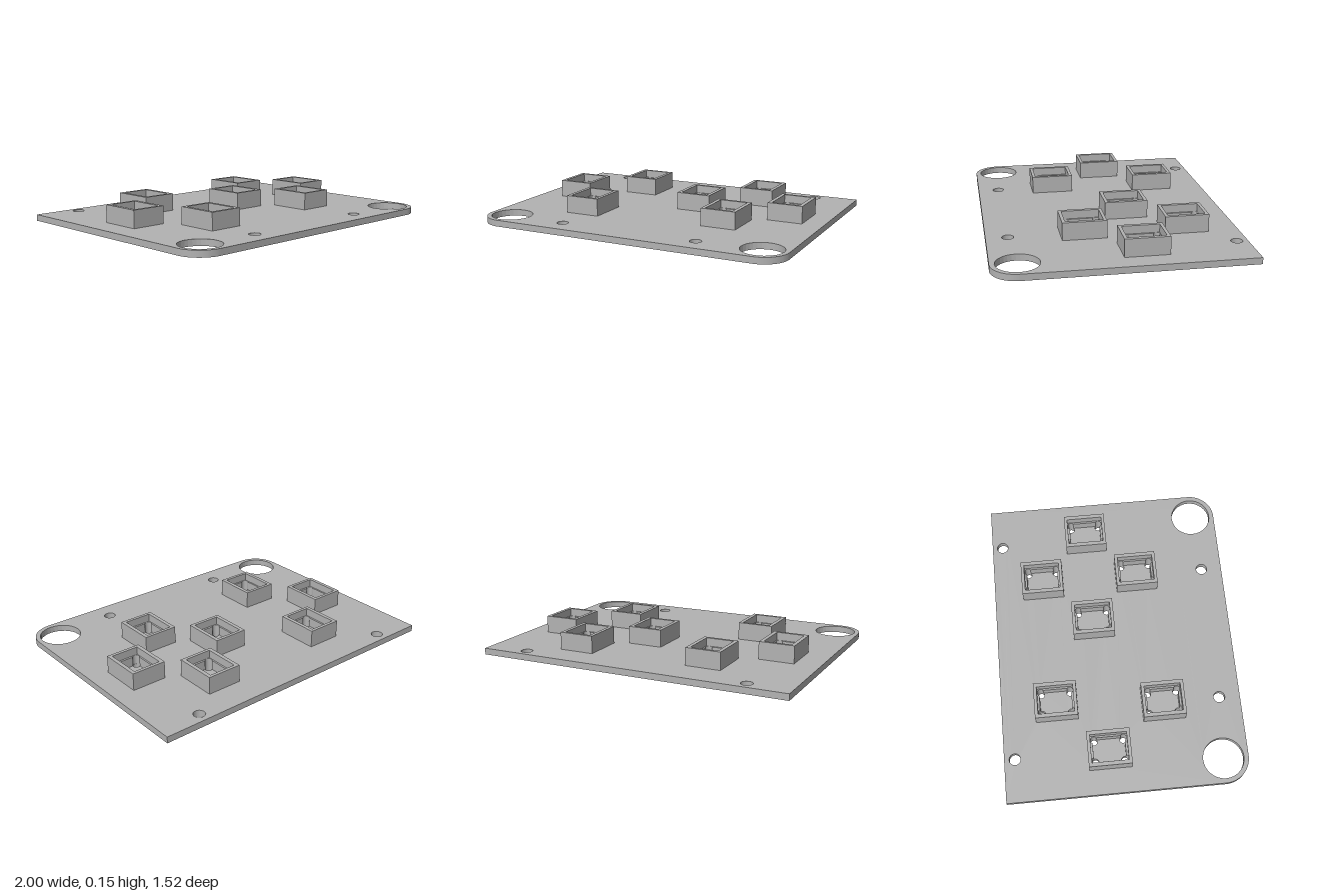
import * as THREE from 'three';

const plateTop = 0.04, housingTop = 0.15, ledgeTop = 0.1;
const pinX = 0.064, pinZ = 0.092, pinR = 0.021;

// Housing centres as [x, z]
const housings = [
  [-0.395, -0.41], [-0.732, -0.102], [-0.452, 0.265], [0.137, -0.128],
  [0.447, -0.438], [0.757, -0.128], [0.447, 0.182],
];

function circle(x, z, r) {
  const p = new THREE.Path();
  p.absarc(x, -z, r, 0, Math.PI * 2, true);
  return p;
}

function rect(path, a, b) {
  path.moveTo(-a, -b).lineTo(a, -b).lineTo(a, b).lineTo(-a, b).closePath();
  return path;
}

// Extrude a plan outline upward from y0 to y1
function slab(shape, y0, y1) {
  const g = new THREE.ExtrudeGeometry(shape, { depth: y1 - y0, bevelEnabled: false, curveSegments: 16 });
  g.rotateX(-Math.PI / 2);
  g.translate(0, y0, 0);
  return g;
}

// Rectangular opening whose corners are relieved by the pin holes
function relievedOpening(a, b) {
  const p = new THREE.Path();
  const tx = Math.acos((a - pinX) / pinR), tz = Math.asin((b - pinZ) / pinR);
  const h = Math.PI;
  p.absarc(pinX, pinZ, pinR, -tx, h - tz, false);
  p.absarc(-pinX, pinZ, pinR, tz, h + tx, false);
  p.absarc(-pinX, -pinZ, pinR, h - tx, 2 * h - tz, false);
  p.absarc(pinX, -pinZ, pinR, h + tz, 2 * h + tx, false);
  p.closePath();
  return p;
}

export function createModel() {
  const group = new THREE.Group();
  const grey = new THREE.MeshStandardMaterial({ color: 0xb2b2b2 });
  grey.name = 'grey';
  const add = (parent, geometry, name) => {
    const m = new THREE.Mesh(geometry, grey);
    m.name = name;
    parent.add(m);
  };

  // Base plate: square at the back, rounded at the front
  const plate = new THREE.Shape();
  const d = 0.76, r = 0.16;
  plate.moveTo(1, d).lineTo(-1, d).lineTo(-1, -d + r);
  plate.absarc(-1 + r, -d + r, r, Math.PI, Math.PI * 1.5, false);
  plate.absarc(1 - r, -d + r, r, Math.PI * 1.5, Math.PI * 2, false);
  plate.closePath();
  for (const s of [-1, 1]) {
    plate.holes.push(circle(s * 0.843, 0.602, 0.128));
    plate.holes.push(circle(s * 0.73, -0.693, 0.036));
    plate.holes.push(circle(s * 0.448, 0.628, 0.036));
  }
  for (const [x, z] of housings)
    for (const sx of [-1, 1])
      for (const sz of [-1, 1]) plate.holes.push(circle(x + sx * pinX, z + sz * pinZ, pinR));
  add(group, slab(plate, 0, plateTop), 'basePlate');

  // Housings: outer wall with an inner ledge cut by the pin holes
  const wall = rect(new THREE.Shape(), 0.112, 0.134);
  wall.holes.push(rect(new THREE.Path(), 0.088, 0.114));
  const ledge = rect(new THREE.Shape(), 0.088, 0.114);
  ledge.holes.push(relievedOpening(0.077, 0.101));
  const wallGeometry = slab(wall, plateTop, housingTop);
  const ledgeGeometry = slab(ledge, plateTop, ledgeTop);
  for (const [x, z] of housings) {
    const housing = new THREE.Group();
    housing.name = 'housing';
    housing.position.set(x, 0, z);
    add(housing, wallGeometry, 'housingWall');
    add(housing, ledgeGeometry, 'housingLedge');
    group.add(housing);
  }
  return group;
}
